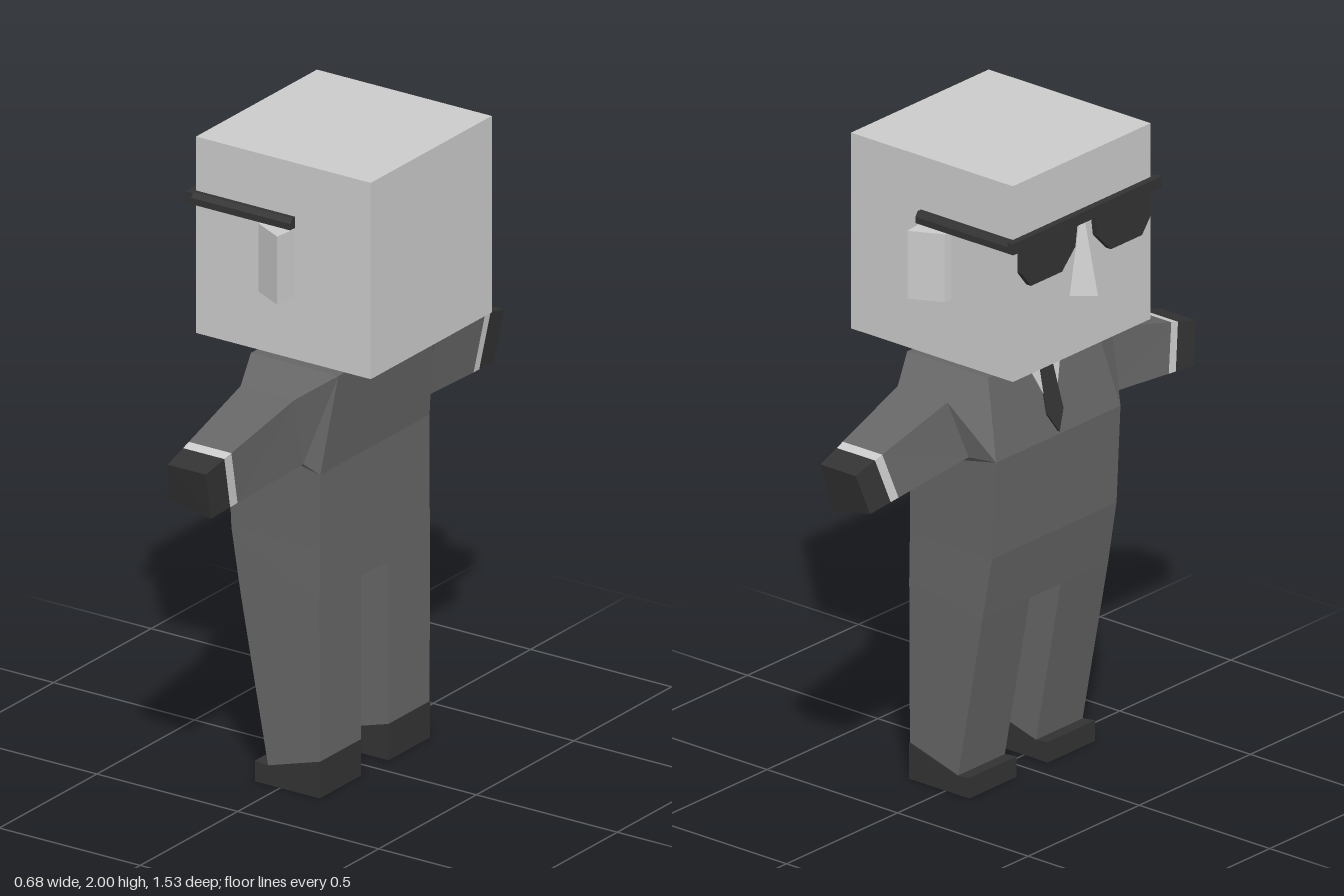
import * as THREE from 'three';

const material = (color) => new THREE.MeshStandardMaterial({ color, flatShading: true });
const skin = material(0xcccccc);
const shirt = material(0xcccccc);
const suit = material(0x666666);
const dark = material(0x333333);

// Closed solid through matching convex rings; winding is corrected by signed volume.
function loft(rings) {
  const n = rings[0].length, tris = [];
  for (let r = 0; r < rings.length - 1; r++) {
    for (let i = 0; i < n; i++) {
      const j = (i + 1) % n, a = rings[r], b = rings[r + 1];
      tris.push([a[i], a[j], b[j]], [a[i], b[j], b[i]]);
    }
  }
  const first = rings[0], last = rings[rings.length - 1];
  for (let i = 1; i < n - 1; i++) {
    tris.push([first[0], first[i + 1], first[i]], [last[0], last[i], last[i + 1]]);
  }
  const v = (p) => new THREE.Vector3(...p);
  const volume = tris.reduce((s, [a, b, c]) => s + v(a).dot(v(b).cross(v(c))), 0);
  if (volume < 0) tris.forEach((t) => t.reverse());
  const geometry = new THREE.BufferGeometry();
  geometry.setAttribute('position', new THREE.Float32BufferAttribute(tris.flat(2), 3));
  geometry.computeVertexNormals();
  return geometry;
}

// Cross-section spanning z0..z1 from a front (x, y) to a back (x, y).
const section = ([fx, fy], [bx, by], z0, z1) =>
  [[fx, fy, z0], [fx, fy, z1], [bx, by, z1], [bx, by, z0]];

const mix = (a, b, t) => a.map((p, i) => p.map((c, k) => c + (b[i][k] - c) * t));

export function createModel() {
  const model = new THREE.Group();
  model.name = 'blockyManInSuit';
  const add = (name, geometry, mat) => {
    const mesh = new THREE.Mesh(geometry, mat);
    mesh.name = name;
    model.add(mesh);
  };
  // Box from min and max corners
  const box = (name, [x0, y0, z0], [x1, y1, z1], mat) => add(name,
    new THREE.BoxGeometry(x1 - x0, y1 - y0, z1 - z0)
      .translate((x0 + x1) / 2, (y0 + y1) / 2, (z0 + z1) / 2), mat);

  // Head and neck (the face looks along -x)
  box('head', [-0.28, 1.38, -0.31], [0.34, 2, 0.31], skin);
  box('neck', [-0.055, 1.31, -0.06], [0.09, 1.39, 0.06], skin);
  add('nose', loft([
    [[-0.28, 1.57, -0.055], [-0.28, 1.57, 0.055], [-0.342, 1.57, 0]],
    [[-0.28, 1.79, -0.012], [-0.28, 1.79, 0.012], [-0.293, 1.79, 0]],
  ]), skin);

  // Jacket body
  const hipFront = [-0.14, 0.58], hipBack = [0.14, 0.63];
  add('torso', loft([
    section([-0.13, 1.33], [0.18, 1.33], -0.245, 0.245),
    section([-0.19, 1.09], [0.14, 1.02], -0.28, 0.28),
    section([-0.175, 0.78], [0.14, 0.78], -0.28, 0.28),
    section(hipFront, hipBack, -0.283, 0.283),
  ]), suit);

  // Shirt opening and tie lie on the sloping chest
  const chest = (y, z, lift) => [-0.13 - (1.33 - y) * 0.25 - lift, y, z];
  const panel = (outline, lift) => loft([
    outline.map(([y, z]) => chest(y, z, -0.005)),
    outline.map(([y, z]) => chest(y, z, lift)),
  ]);
  add('shirtFront', panel([[1.33, -0.08], [1.33, 0.08], [1.15, 0]], 0.003), shirt);
  add('tie', panel([[1.33, -0.025], [1.33, 0.025], [1.16, 0.035], [1.1, 0], [1.16, -0.035]], 0.008), dark);

  // Glasses front bar
  box('glassesBar', [-0.302, 1.795, -0.335], [-0.28, 1.83, 0.335], dark);

  for (const [side, s] of [['left', -1], ['right', 1]]) {
    const flip = (ring) => ring.map(([x, y, z]) => [x, y, z * s]);
    const sided = (rings) => loft(rings.map(flip));

    // Lens, temple and wedge-shaped ear
    const lens = [[0.04, 1.8], [0.29, 1.8], [0.29, 1.72], [0.25, 1.67], [0.11, 1.67], [0.05, 1.73]];
    add(side + 'Lens', sided([-0.28, -0.298].map((x) => lens.map(([z, y]) => [x, y, z]))), dark);
    const temple = [[1.795, 0.31], [1.795, 0.335], [1.815, 0.335], [1.83, 0.325], [1.83, 0.31]];
    add(side + 'Temple', sided([-0.302, 0.072].map((x) => temple.map(([y, z]) => [x, y, z]))), dark);
    add(side + 'Ear', sided([1.575, 1.79].map((y) =>
      [[-0.045, y, 0.305], [-0.04, y, 0.335], [0.06, y, 0.385], [0.07, y, 0.305]])), skin);

    // Arm: shoulder, upper arm, then a straight taper to the fist
    const shoulder = [[-0.13, 1.33, 0.245], [0.18, 1.33, 0.245], [0.14, 1.02, 0.28], [-0.19, 1.09, 0.28]];
    const upper = [[-0.08, 1.28, 0.37], [0.11, 1.28, 0.37], [0.1, 1.055, 0.31], [-0.11, 1.095, 0.31]];
    const fist = [[-0.065, 1.17, 0.765], [0.07, 1.17, 0.765], [0.06, 1.015, 0.725], [-0.09, 1.045, 0.73]];
    const cuffStart = mix(upper, fist, 0.71), cuffEnd = mix(upper, fist, 0.79);
    add(side + 'Sleeve', sided([shoulder, upper, cuffStart]), suit);
    add(side + 'Cuff', sided([cuffStart, cuffEnd]), shirt);
    add(side + 'Hand', sided([cuffEnd, fist]), dark);

    // Trouser leg and shoe
    add(side + 'Leg', sided([
      section(hipFront, hipBack, 0.07, 0.283),
      section([-0.045, 0.06], [0.14, 0.115], 0.07, 0.28),
    ]), suit);
    const shoe = [[-0.09, 0], [0.14, 0], [0.14, 0.115], [-0.045, 0.06], [-0.09, 0.065]];
    const sole = new THREE.Shape(shoe.map(([x, y]) => new THREE.Vector2(x, y)));
    add(side + 'Shoe', new THREE.ExtrudeGeometry(sole, { depth: 0.213, bevelEnabled: false })
      .translate(0, 0, s > 0 ? 0.07 : -0.283), dark);
  }
  return model;
}
